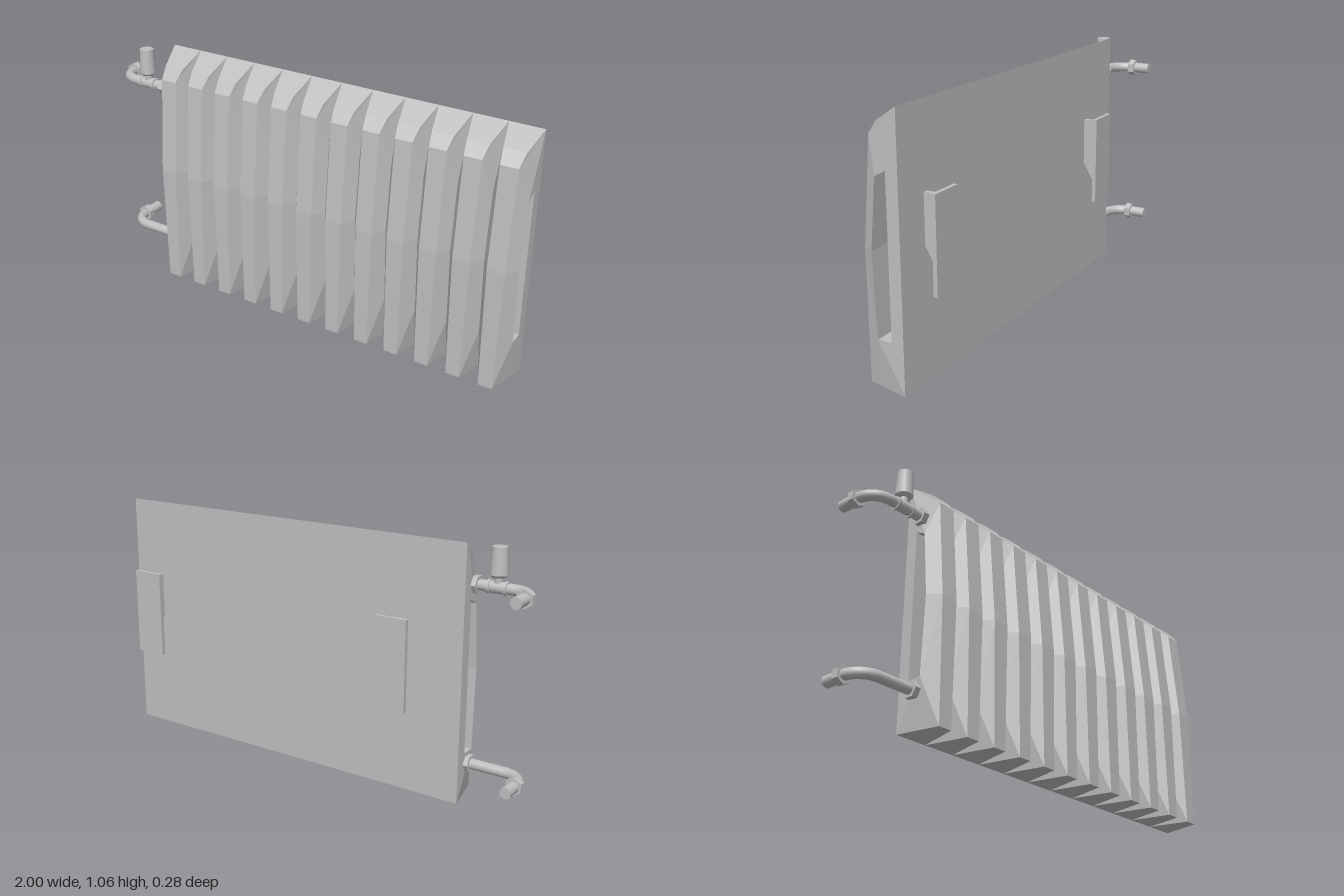
import * as THREE from 'three';

const BACK = -0.04, TOP = 1.063, LEFT_END = 1, RIGHT_END = -0.715;
const SECTIONS = 12, PITCH = (LEFT_END - RIGHT_END) / SECTIONS;

// Valley between sections [y, z], and front rib [y, z, half width]
const VALLEY = [[0, BACK], [0.2, 0.07], [0.535, 0.082], [0.81, 0.057], [TOP, BACK]];
const RIB = [[0, 0.139, 0.03], [0.53, 0.136, 0.037], [0.95, 0.1, 0.037],
  [1.0, 0.06, 0.046], [TOP, BACK, PITCH / 2]];
// Side opening running through all sections [z, y]
const HOLE = [[0.07, 0.2], [0.082, 0.535], [0.057, 0.81], [0.011, 0.833], [0.011, 0.2]];

const metal = new THREE.MeshStandardMaterial({ color: 0xbebebe });
metal.name = 'grey metal';

function mesh(geometry, name, parent, pos = [0, 0, 0]) {
  const m = new THREE.Mesh(geometry, metal);
  m.name = name;
  m.position.set(...pos);
  parent.add(m);
  return m;
}

function fromTriangles(positions) {
  const g = new THREE.BufferGeometry();
  g.setAttribute('position', new THREE.Float32BufferAttribute(positions, 3));
  g.computeVertexNormals();
  return g;
}

// One tapered radiator section, centred on x = 0
function sectionGeometry() {
  const out = [], h = PITCH / 2;
  const tri = (a, b, c) => out.push(...a, ...b, ...c);
  const quad = (a, b, c, d) => { tri(a, b, c); tri(a, c, d); };
  const v = (i, s) => [s * h, ...VALLEY[i]];
  const f = (i, s) => [s * RIB[i][2], RIB[i][0], RIB[i][1]];
  for (let i = 0; i < 4; i++) quad(f(i, -1), f(i, 1), f(i + 1, 1), f(i + 1, -1));
  for (const s of [1, -1]) {
    const side = (a, b, c) => (s > 0 ? tri(a, b, c) : tri(a, c, b));
    side(f(0, s), v(0, s), v(1, s));
    side(f(0, s), v(1, s), f(1, s));
    side(v(1, s), v(2, s), f(1, s));
    side(v(2, s), v(3, s), f(1, s));
    side(f(1, s), v(3, s), f(2, s));
    side(f(2, s), v(3, s), v(4, s));
    side(f(2, s), v(4, s), f(3, s));
  }
  quad(v(0, -1), v(0, 1), f(0, 1), f(0, -1));   // underside
  quad(v(0, 1), v(0, -1), v(4, -1), v(4, 1));   // back
  return fromTriangles(out);
}

// Flat end face around the opening
function endFace(x, s) {
  const shape = [[BACK, 0], [0.07, 0.2], [0.011, 0.2], [0.011, 0.833], [0.057, 0.81], [BACK, TOP]]
    .map(([z, y]) => new THREE.Vector2(-s * z, y));
  const g = new THREE.ShapeGeometry(new THREE.Shape(shape));
  g.rotateY(s * Math.PI / 2);
  return g.translate(x, 0, 0);
}

// Inner walls of the opening
function holeWalls() {
  const out = [];
  HOLE.forEach(([z0, y0], i) => {
    const [z1, y1] = HOLE[(i + 1) % HOLE.length];
    const a = [RIGHT_END, y0, z0], b = [LEFT_END, y0, z0];
    const c = [LEFT_END, y1, z1], d = [RIGHT_END, y1, z1];
    out.push(...a, ...c, ...b, ...a, ...d, ...c);
  });
  return fromTriangles(out);
}

function rod(axis, r, length, sides = 24) {
  const g = new THREE.CylinderGeometry(r, r, length, sides);
  if (axis === 'x') g.rotateZ(Math.PI / 2);
  if (axis === 'z') g.rotateX(Math.PI / 2);
  return g;
}

function hexNut(axis, length) {
  const g = new THREE.CylinderGeometry(0.037, 0.037, length, 6).toNonIndexed();
  g.computeVertexNormals();
  if (axis === 'x') g.rotateZ(Math.PI / 2);
  if (axis === 'z') g.rotateX(Math.PI / 2);
  return g;
}

// Pipe from the radiator, bending back to the wall
function pipe(y) {
  const group = new THREE.Group();
  const x = -0.968, z = 0.037, r = 0.085, k = 0.55;
  const p = (a, b) => new THREE.Vector3(a, 0, b);
  const path = new THREE.CurvePath();
  path.add(new THREE.LineCurve3(p(-0.69, z), p(x + r, z)));
  path.add(new THREE.CubicBezierCurve3(p(x + r, z), p(x + r * (1 - k), z),
    p(x, z - r * (1 - k)), p(x, z - r)));
  path.add(new THREE.LineCurve3(p(x, z - r), p(x, -0.07)));
  mesh(new THREE.TubeGeometry(path, 48, 0.022, 20), 'bentPipe', group);
  mesh(hexNut('x', 0.025), 'radiatorNut', group, [-0.722, 0, z]);
  mesh(hexNut('z', 0.029), 'wallNut', group, [x, 0, -0.0545]);
  mesh(rod('z', 0.0235, 0.075), 'wallPipe', group, [x, 0, -0.101]);
  group.position.y = y;
  return group;
}

// Valve with tapered knob
function valve() {
  const group = new THREE.Group();
  mesh(rod('x', 0.024, 0.08), 'valveBody', group);
  for (const x of [-0.036, 0.036]) mesh(rod('x', 0.028, 0.012), 'valveCollar', group, [x, 0, 0]);
  mesh(rod('y', 0.017, 0.06), 'valveStem', group, [0, 0.03, 0]);
  mesh(new THREE.CylinderGeometry(0.03, 0.036, 0.108, 16), 'valveKnob', group, [0, 0.104, 0]);
  mesh(new THREE.CylinderGeometry(0.036, 0.026, 0.01, 16), 'valveKnobBase', group, [0, 0.045, 0]);
  group.position.set(-0.813, 0.89, 0.037);
  return group;
}

// Wall bracket: plate with a tapered web
function bracket(x) {
  const group = new THREE.Group();
  mesh(new THREE.BoxGeometry(0.145, 0.38, 0.017), 'bracketPlate', group, [0, 0.562, -0.1295]);
  const web = new THREE.Shape([[0.048, 0.532], [0.122, 0.4], [0.122, 0.732], [0.048, 0.732]]
    .map(([a, b]) => new THREE.Vector2(a, b)));
  const g = new THREE.ExtrudeGeometry(web, { depth: 0.02, bevelEnabled: false });
  g.translate(0, 0, -0.01).rotateY(Math.PI / 2);
  mesh(g, 'bracketWeb', group);
  group.position.x = x;
  return group;
}

export function createModel() {
  const model = new THREE.Group();
  model.name = 'radiator';

  const body = new THREE.Group();
  body.name = 'radiatorBody';
  const section = sectionGeometry();
  for (let i = 0; i < SECTIONS; i++) {
    mesh(section, 'section', body, [RIGHT_END + (i + 0.5) * PITCH, 0, 0]);
  }
  mesh(endFace(LEFT_END, 1), 'leftEndFace', body);
  mesh(endFace(RIGHT_END, -1), 'rightEndFace', body);
  mesh(holeWalls(), 'openingWalls', body);
  model.add(body);

  for (const [y, name] of [[0.89, 'upperPipe'], [0.152, 'lowerPipe']]) {
    const p = pipe(y);
    p.name = name;
    model.add(p);
  }
  const v = valve();
  v.name = 'valve';
  model.add(v);
  for (const x of [-0.445, 0.849]) {
    const b = bracket(x);
    b.name = 'wallBracket';
    model.add(b);
  }
  return model;
}
